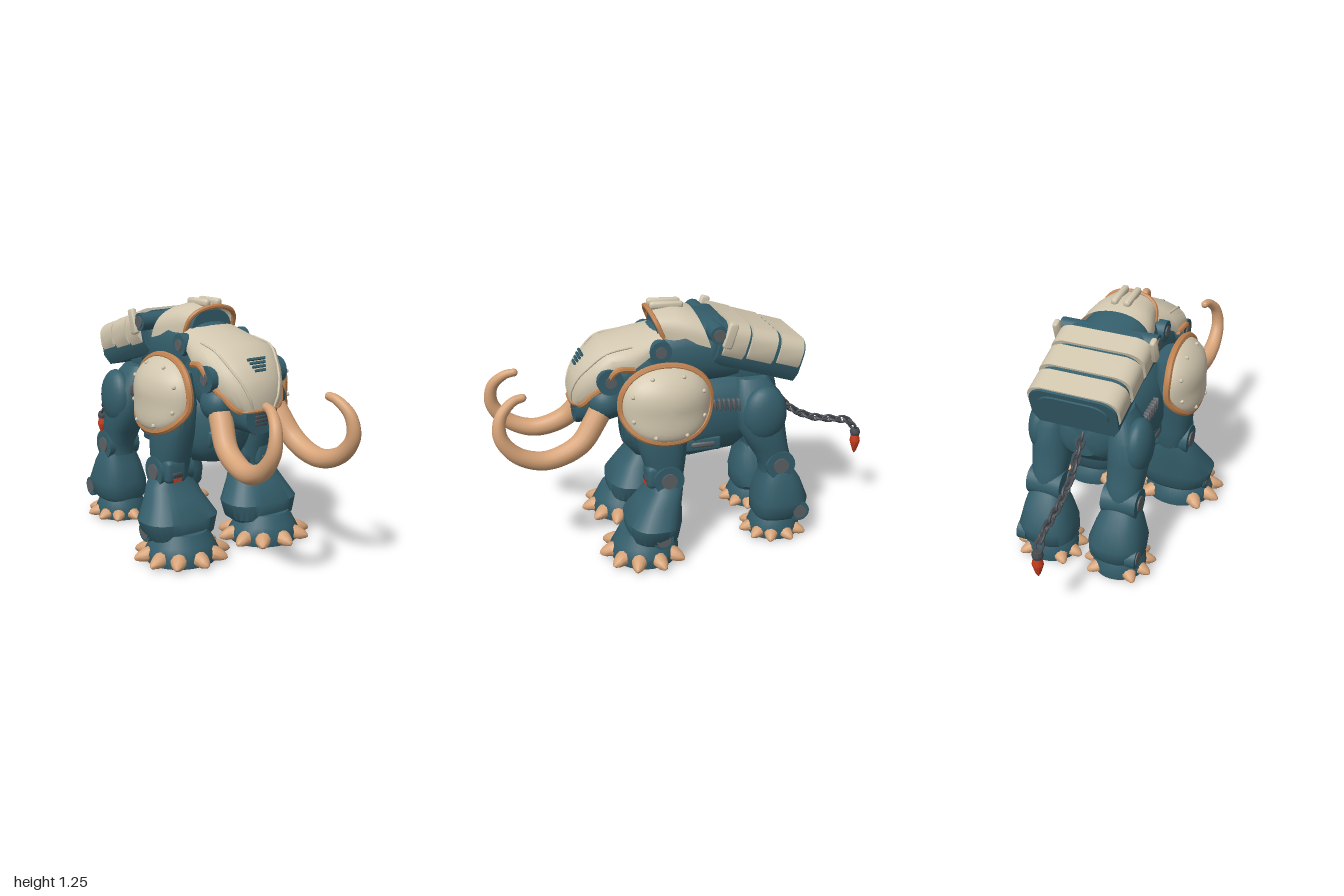
import * as THREE from 'three';
import { toCreasedNormals } from 'three/addons/utils/BufferGeometryUtils.js';
import { RoundedBoxGeometry } from 'three/addons/geometries/RoundedBoxGeometry.js';

const paint = (name, color) => Object.assign(new THREE.MeshStandardMaterial({ color, side: THREE.DoubleSide }), { name });
const teal = paint('teal hull', 0x345e6b);
const cream = paint('cream armour', 0xd1c6ae);
const trim = paint('copper trim', 0xc08250);
const ivory = paint('tusk tan', 0xd6a378);
const grey = paint('joint grey', 0x5d6165);
const dark = paint('chain dark', 0x464b50);
const red = paint('red', 0xca3d1f);

const V = (x, y, z) => new THREE.Vector3(x, y, z);
const place = (geo, x, y, z, rx = 0, ry = 0, rz = 0) =>
  geo.applyMatrix4(new THREE.Matrix4().makeRotationFromEuler(new THREE.Euler(rx, ry, rz)).setPosition(x, y, z));
const box = (w, h, d) => new THREE.BoxGeometry(w, h, d);
const round = (w, h, d, r = 0.015) => new RoundedBoxGeometry(w, h, d, 2, r);
const ball = (rx, ry, rz) => new THREE.SphereGeometry(1, 24, 16).scale(rx, ry, rz);
const axle = (r, len) => new THREE.CylinderGeometry(r, r, len, 20).rotateZ(Math.PI / 2);

function fromGrid(points, rows, cols, index = []) {
  for (let i = 0; i < rows - 1; i++) for (let j = 0; j < cols - 1; j++) {
    const a = i * cols + j, b = a + cols;
    index.push(a, a + 1, b + 1, a, b + 1, b);
  }
  const geo = new THREE.BufferGeometry();
  geo.setAttribute('position', new THREE.Float32BufferAttribute(points, 3));
  geo.setIndex(index);
  return geo;
}

// Closed loft of super-ellipses; each row is [t, centreU, centreV, radiusU, radiusV]
function loft(rows, pow = 2.4, n = 28) {
  const pts = [], caps = [], cols = n + 1, last = rows.length - 1;
  const bend = c => Math.sign(c) * Math.abs(c) ** (2 / pow);
  for (const [t, cu, cv, ru, rv] of rows) for (let j = 0; j <= n; j++) {
    const a = (j % n) / n * Math.PI * 2;
    pts.push(cu + ru * bend(Math.cos(a)), cv + rv * bend(Math.sin(a)), t);
  }
  for (const k of [0, last]) {
    const c = pts.length / 3, base = k * cols;
    pts.push(rows[k][1], rows[k][2], rows[k][0]);
    for (let j = 0; j < n; j++) caps.push(c, base + j + (k ? 0 : 1), base + j + (k ? 1 : 0));
  }
  return fromGrid(pts, rows.length, cols, caps);
}
const loftZ = rows => loft(rows.map(([z, y, rx, ry]) => [z, 0, y, rx, ry]));
const loftY = (rows, pow) => loft(rows.map(([y, x, z, rx, rz]) => [y, x, -z, rx, rz]), pow).rotateX(-Math.PI / 2);

// Open arched shell; each row is [z, topY, halfWidth, edgeY, sideSetback, squareness]
const archPoint = ([z, top, hw, edge, back, sq = .8], u) => {
  const a = u * Math.PI / 2, c = Math.max(0, Math.cos(a)) ** sq;
  return V(hw * Math.sin(a), edge + (top - edge) * c, z - back * (1 - c));
};
function shell(rows, n = 24) {
  const pts = [];
  for (const row of rows) for (let j = 0; j <= n; j++) pts.push(...archPoint(row, 1 - 2 * j / n).toArray());
  return fromGrid(pts, rows.length, n + 1);
}
const tube = (pts, r, closed = false) =>
  new THREE.TubeGeometry(new THREE.CatmullRomCurve3(pts, closed), 48, r, 8, closed);

export function createModel() {
  const model = new THREE.Group();
  model.name = 'armouredMammoth';

  const add = (name, geo, mat, mirror = false) => {
    const g = toCreasedNormals(geo, 0.7);
    const m = new THREE.Mesh(g, mat);
    m.name = mirror ? name + 'Left' : name;
    model.add(m);
    if (!mirror) return;
    const f = g.clone().scale(-1, 1, 1);
    for (const key of ['position', 'normal']) {
      const at = f.attributes[key];
      for (let i = 0; i < at.count; i += 3) {
        const b = V().fromBufferAttribute(at, i + 1), c = V().fromBufferAttribute(at, i + 2);
        at.setXYZ(i + 1, c.x, c.y, c.z);
        at.setXYZ(i + 2, b.x, b.y, b.z);
      }
    }
    const m2 = new THREE.Mesh(f, mat);
    m2.name = name + 'Right';
    model.add(m2);
  };
  const pair = (name, geo, mat) => add(name, geo, mat, true);

  // Torso and upper back
  add('torso', loftZ([[-.465, .73, .09, .09], [-.41, .73, .17, .145], [-.22, .68, .22, .23], [0, .67, .235, .24],
    [.16, .66, .22, .235], [.27, .65, .17, .2], [.33, .65, .1, .13]]), teal);
  add('upperBack', loftZ([[-.24, .96, .17, .14], [-.1, .99, .2, .17], [.04, 1.0, .19, .18], [.16, .99, .16, .15], [.24, .96, .15, .14]]), teal);
  add('chestPlate', place(round(.24, .09, .05), 0, .59, .3, .25), teal);
  for (let i = 0; i < 7; i++) pair('sideVent', place(round(.03, .06, .014, .005), .228, .76 - i * .002, -.07 - i * .025, .15), grey);
  pair('bellyFrame', place(round(.03, .075, .19), .207, .545, -.04), teal);
  pair('bellySlot', place(round(.03, .035, .13), .213, .545, -.04), grey);

  // Head, cheeks and throat
  add('skull', loftZ([[.12, .92, .15, .15], [.3, .88, .18, .19], [.42, .84, .175, .18], [.52, .8, .14, .14], [.575, .75, .09, .09]]), teal);
  const helm = [[.15, 1.13, .17, 1.06, 0], [.3, 1.11, .205, .97, 0], [.44, 1.07, .22, .975, .05], [.53, 1.0, .195, .89, .08],
    [.58, .93, .165, .84, .08], [.602, .85, .13, .79, .06], [.595, .78, .1, .775, .04]];
  add('helmet', shell(helm), cream);
  pair('helmetRidge', tube(helm.slice(1).map((r, i) => archPoint(r, .55 - i * .03)), .006), cream);
  pair('helmetTrim', tube(helm.slice(1).map(r => archPoint(r, 1)), .016), trim);
  add('chinTrim', tube([1, .5, 0, -.5, -1].map(u => archPoint(helm[6], u)), .009), trim);
  for (let i = 0; i < 4; i++) add('browGrille', place(box(.1 - i * .014, .011, .012), 0, 1.012 - i * .016, .527 + i * .0112, -.6), teal);
  for (let i = 0; i < 6; i++) add('throatGrille', place(round(.075, .014, .04, .004), 0, .765 - i * .02, .568 - i * .004), dark);
  pair('cheek', place(axle(.065, .1), .17, .92, .42), teal);
  pair('cheekDisc', place(axle(.028, .016), .218, .92, .42), grey);
  pair('neckJoint', place(axle(.055, .1), .145, 1.04, .166), teal);
  pair('neckDisc', place(axle(.028, .016), .193, 1.04, .166), grey);
  pair('tuskSocket', place(ball(.075, .085, .09), .155, .8, .43), teal);

  // Tusks: a tube whose rings shrink towards the tip
  const path = new THREE.CatmullRomCurve3([V(.15, .8, .44), V(.168, .72, .49), V(.195, .615, .57), V(.206, .563, .67), V(.216, .552, .77),
    V(.228, .602, .888), V(.228, .7, .958), V(.213, .8, .948), V(.188, .862, .883), V(.18, .872, .84)]);
  const seg = 60, tusk = new THREE.TubeGeometry(path, seg, 1, 14), tp = tusk.attributes.position;
  for (let i = 0; i < tp.count; i++) {
    const t = Math.floor(i / 15) / seg, c = path.getPointAt(t);
    const p = V().fromBufferAttribute(tp, i).sub(c).multiplyScalar(.058 - .038 * t ** 1.6).add(c);
    tp.setXYZ(i, p.x, p.y, p.z);
  }
  pair('tusk', tusk, ivory);
  pair('tuskTip', place(ball(.02, .02, .02), .18, .872, .84), ivory);

  // Cockpit hump
  add('cockpitCore', loftZ([[-.17, 1.05, .19, .115], [-.05, 1.06, .18, .13], [.06, 1.08, .15, .13], [.165, 1.1, .115, .095]]), teal);
  const hood = [[-.03, 1.205, .195, 1.03, .06, .6], [.02, 1.22, .185, 1.05, .04, .6], [.08, 1.23, .165, 1.07, .01, .6], [.19, 1.215, .14, 1.095, .05, .6]];
  add('cockpitHood', shell(hood), cream);
  add('hoodTrim', tube([1, .95, .75, .5, .25, 0, -.25, -.5, -.75, -.95, -1].map(u => archPoint(hood[3], u)), .012), trim);
  pair('roofVent', place(round(.036, .04, .17), .033, 1.228, .1, -.04), cream);

  // Back pack: three cream bands over a teal core, sloping to the rear
  const slab = (hw, h, len, start, drop) => {
    const s = new THREE.Shape(), top = -drop, r = .075;
    s.moveTo(-hw + .03, top - h).lineTo(hw - .03, top - h).lineTo(hw, top - h + .05).lineTo(hw, top - r)
      .quadraticCurveTo(hw, top - .012, hw - r, top).lineTo(-hw + r, top)
      .quadraticCurveTo(-hw, top - .012, -hw, top - r).lineTo(-hw, top - h + .05).closePath();
    const g = new THREE.ExtrudeGeometry(s, { depth: len, bevelEnabled: false, curveSegments: 6 }).translate(0, 0, -start - len);
    return place(g, 0, 1.183, -.145, -.3);
  };
  add('packCore', slab(.22, .215, .445, .015, .014), teal);
  add('packRear', slab(.18, .13, .02, .45, .04), teal);
  [[.035, .11, .241], [.165, .135, .237], [.325, .122, .232]].forEach(([start, len, hw], i) =>
    add('packBand' + (i + 1), slab(hw, .185 - i * .006, len, start, i * .003), cream));
  add('packFront', place(round(.4, .2, .12, .04), 0, 1.06, -.13, -.3), teal);
  add('packAxle', place(axle(.045, .5), 0, 1.12, -.11), teal);
  pair('packAxleCap', place(axle(.03, .014), .25, 1.12, -.11), grey);
  pair('packSidePlate', place(round(.03, .13, .05, .012), .25, 1.115, -.165, -.3), cream);
  add('packMount', place(round(.3, .14, .28, .04), 0, .89, -.26, -.2), teal);

  // Shoulder armour: domed ovals whose lower edge flares out, with a copper rim and rivets
  const domePoint = (r, a) => {
    const p = c => Math.sign(c) * Math.abs(c) ** .93;
    const y = .82 + .176 * r * p(Math.sin(a)), z = .165 - .222 * r * p(Math.cos(a));
    const flare = THREE.MathUtils.smoothstep(.8 - y, 0, .2), lean = .12 * Math.max(0, y - .9);
    return V(.278 + .1 * flare - lean + .122 * Math.max(0, 1 - r * r) ** .6 * (1 - .3 * flare), y, z);
  };
  const dome = [], rim = [];
  for (let j = 0; j <= 32; j++) for (let i = 0; i <= 8; i++) dome.push(...domePoint(Math.sin(i / 8 * Math.PI / 2), (j % 32) / 32 * Math.PI * 2).toArray());
  for (let j = 0; j < 32; j++) rim.push(domePoint(1, j / 32 * Math.PI * 2));
  pair('shoulderArmour', fromGrid(dome, 33, 9), cream);
  pair('shoulderRim', tube(rim, .019, true), trim);
  for (let j = 0; j < 8; j++) {
    const p = domePoint(.84, (j + .5) / 8 * Math.PI * 2);
    pair('rivet', place(new THREE.SphereGeometry(.011, 8, 6), p.x, p.y, p.z), cream);
  }

  // Legs: limb, knee, bell-shaped shin, foot and claws
  const clawShape = [[.043, 0], [.041, .035], [.029, .07], [.014, .092], [0, .1]].map(([x, y]) => new THREE.Vector2(x, y));
  const leg = (name, o) => {
    const [kx, ky, kz] = o.knee, [fx, fz, r, sz] = o.foot;
    pair(name + 'Limb', loftY(o.limb), teal);
    pair(name + 'Knee', place(axle(.076, o.kneeWidth), kx, ky, kz), teal);
    pair(name + 'KneeDisc', place(axle(.04, .014), kx + o.kneeWidth / 2, ky, kz), grey);
    pair(name + 'Shin', loftY(o.shin, 2.6), teal);
    pair(name + 'AnkleRing', place(axle(.052, .05), ...o.ankle), teal);
    pair(name + 'AnkleDisc', place(axle(.036, .06), ...o.ankle), grey);
    pair(name + 'Foot', loftY([[0, fx, fz, r * .96, r * .96 * sz], [.05, fx, fz, r, r * sz],
      [.095, fx, fz, r * .86, r * .86 * sz], [.15, fx, fz, r * .7, r * .7 * sz]], 2), teal);
    for (const deg of [0, 36, 68, 104, 138, -36, -68, -104, -138]) {
      const claw = new THREE.LatheGeometry(clawShape.map(p => p.clone().multiplyScalar(o.claw)), 10).scale(1, 1, .85)
        .rotateX(Math.PI / 2 + .22).translate(0, .045 * o.claw, r - .035).rotateY(deg * Math.PI / 180).scale(1, 1, sz);
      pair(name + 'Claw', place(claw, fx, 0, fz), ivory);
    }
  };
  leg('frontLeg', {
    limb: [[.36, .24, .17, .07, .075], [.42, .245, .165, .085, .09], [.5, .248, .17, .092, .105], [.62, .25, .185, .095, .13],
      [.78, .24, .18, .08, .16], [.92, .21, .16, .05, .11]],
    knee: [.25, .425, .166], kneeWidth: .19, ankle: [.408, .15, .22], foot: [.255, .28, .188, .92], claw: 1,
    shin: [[.1, .25, .24, .15, .11], [.125, .25, .24, .183, .13], [.205, .25, .235, .205, .138], [.3, .25, .2, .15, .107],
      [.36, .25, .172, .122, .088], [.4, .25, .165, .09, .08]],
  });
  leg('rearLeg', {
    limb: [[.36, .2, -.42, .07, .075], [.42, .2, -.425, .08, .085], [.5, .2, -.39, .09, .1], [.62, .2, -.345, .1, .125],
      [.75, .19, -.34, .09, .13], [.86, .15, -.31, .05, .08]],
    knee: [.2, .41, -.435], kneeWidth: .18, ankle: [.295, .15, -.535], foot: [.187, -.435, .137, 1], claw: .85,
    shin: [[.1, .185, -.45, .115, .12], [.125, .185, -.455, .138, .138], [.2, .19, -.46, .143, .145], [.3, .195, -.45, .115, .115],
      [.37, .2, -.44, .09, .08], [.4, .2, -.43, .07, .07]],
  });
  pair('kneePad', place(round(.115, .12, .08, .025), .272, .44, .232), teal);
  pair('kneeVent', place(round(.06, .025, .02, .006), .272, .425, .267), dark);
  pair('kneeSlot', place(box(.045, .018, .02), .272, .398, .264), red);
  pair('kneeSlotBack', place(box(.06, .02, .02), .25, .415, .094), red);
  pair('hip', place(ball(.07, .145, .115), .25, .69, -.35), teal);

  // Chain tail with a red pointed weight
  const tail = new THREE.CatmullRomCurve3([V(0, .8, -.43), V(0, .71, -.49), V(0, .605, -.58), V(0, .54, -.7), V(0, .51, -.83), V(0, .49, -.92), V(0, .435, -.965)]);
  const links = 17;
  for (let i = 0; i < links; i++) {
    const t = (i + .3) / links, p = tail.getPointAt(t), d = tail.getTangentAt(t);
    const g = new THREE.TorusGeometry(.019, .007, 6, 14).scale(1.55, 1, 1).rotateX(i % 2 ? Math.PI / 2 : 0);
    g.applyQuaternion(new THREE.Quaternion().setFromUnitVectors(V(1, 0, 0), d));
    add('chainLink', g.translate(p.x, p.y, p.z), dark);
  }
  const spin = pts => new THREE.LatheGeometry(pts.map(([x, y]) => new THREE.Vector2(x, y)), 10);
  add('tailCap', place(spin([[0, .4], [.024, .4], [.029, .418], [.022, .438], [0, .443]]), 0, 0, -.969), dark);
  add('tailWeight', place(spin([[0, .29], [.012, .31], [.029, .365], [.021, .403], [0, .403]]), 0, 0, -.971), red);
  return model;
}
